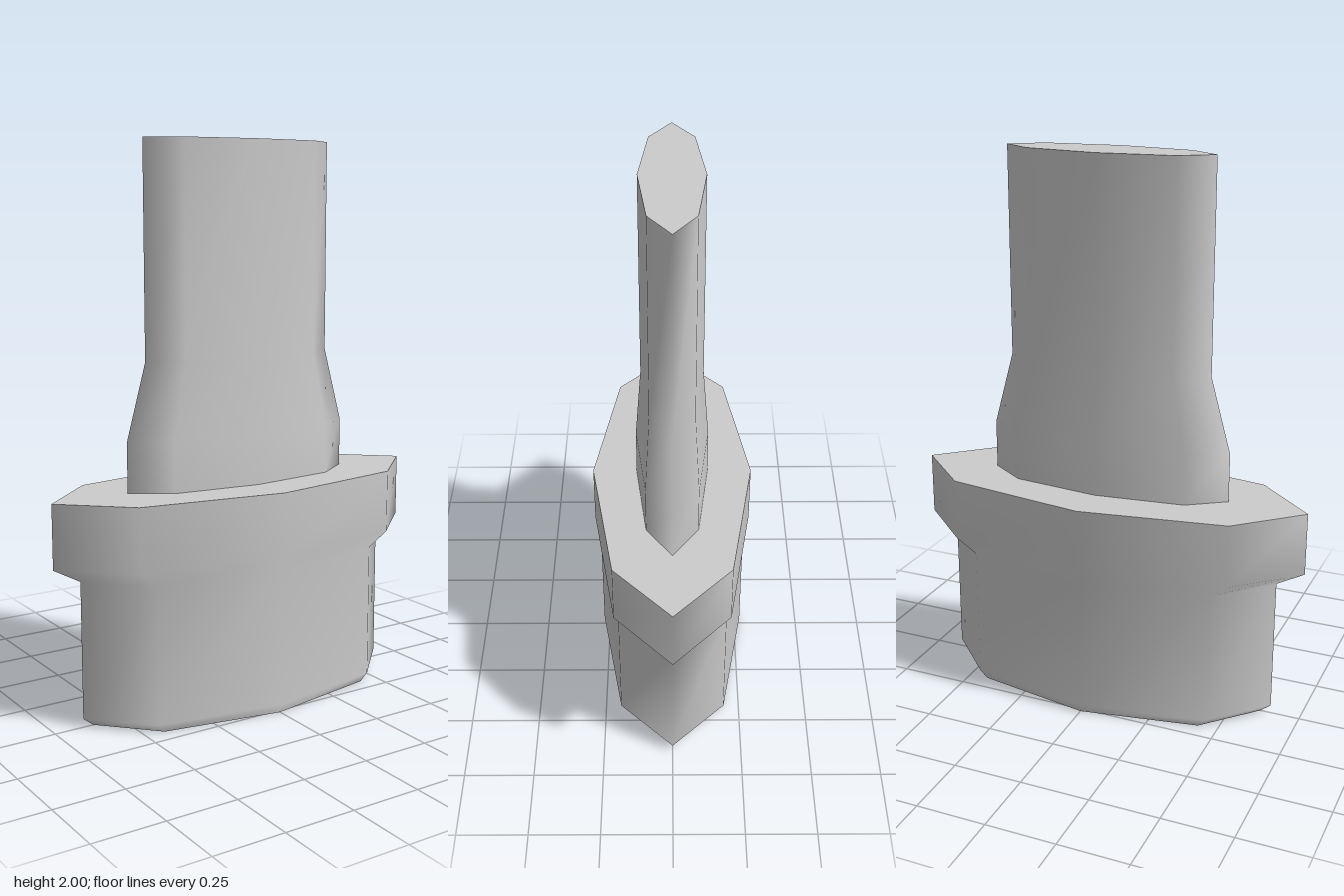
import * as THREE from 'three';

const SIDES = 8;

// Smooth-sided loft through squashed octagon rings [y, half width, half depth]
function loft(rings) {
  const pos = [], idx = [];
  for (const [y, rx, rz] of rings) {
    for (let i = 0; i < SIDES; i++) {
      const a = (i / SIDES) * Math.PI * 2;
      pos.push(Math.cos(a) * rx, y, Math.sin(a) * rz);
    }
  }
  for (let r = 0; r < rings.length - 1; r++) {
    for (let i = 0; i < SIDES; i++) {
      const j = (i + 1) % SIDES;
      const a = r * SIDES + i, b = r * SIDES + j;
      const c = a + SIDES, d = b + SIDES;
      idx.push(a, c, b, b, c, d);
    }
  }
  const g = new THREE.BufferGeometry();
  g.setAttribute('position', new THREE.Float32BufferAttribute(pos, 3));
  g.setIndex(idx);
  g.computeVertexNormals();
  return g;
}

// Flat octagonal lid, facing up or down
function lid([y, rx, rz], up) {
  const g = new THREE.CircleGeometry(1, SIDES);
  g.scale(rx, rz, 1);
  g.rotateX(up ? -Math.PI / 2 : Math.PI / 2);
  g.translate(0, y, 0);
  return g;
}

export function createModel() {
  const group = new THREE.Group();
  group.name = 'steppedPlug';
  const material = new THREE.MeshStandardMaterial({ color: 0xcccccc });
  const add = (name, geometry) => {
    const mesh = new THREE.Mesh(geometry, material);
    mesh.name = name;
    group.add(mesh);
  };

  // Base body with a chamfered foot, widening into the collar
  const base = [
    [0, 0.605, 0.265],
    [0.03, 0.643, 0.272],
    [0.52, 0.643, 0.272],
    [0.575, 0.743, 0.29],
    [0.803, 0.743, 0.29],
  ];
  add('baseAndCollar', loft(base));
  add('baseBottom', lid(base[0], false));
  add('collarTop', lid(base[base.length - 1], true));

  // Blade-like stem, tapering above the collar
  const stem = [
    [0.803, 0.457, 0.13],
    [0.98, 0.457, 0.13],
    [1.25, 0.382, 0.11],
    [2, 0.382, 0.11],
  ];
  add('stem', loft(stem));
  add('stemTop', lid(stem[stem.length - 1], true));

  return group;
}
